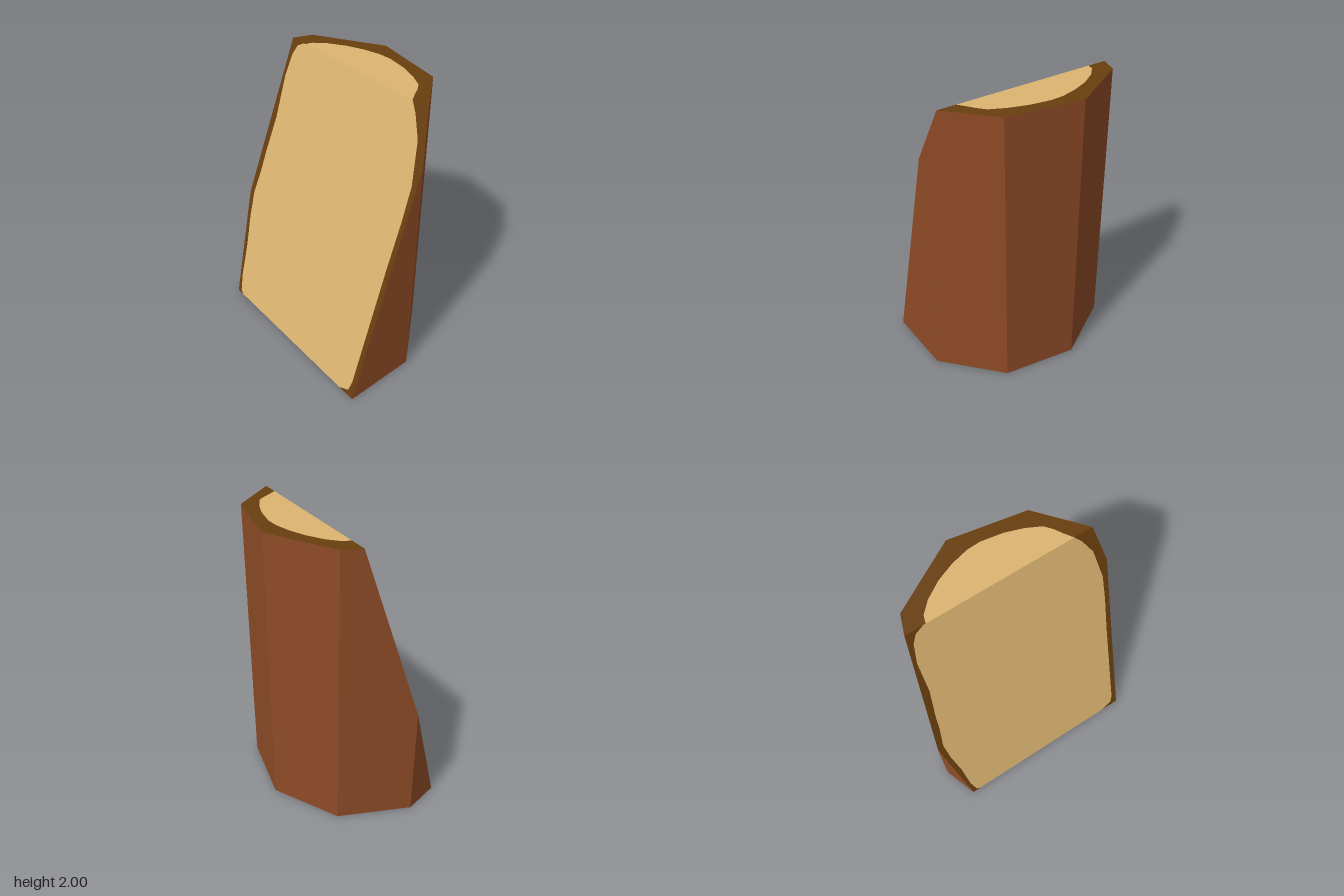
import * as THREE from 'three';

// Split log: a seven-sided prism of bark, cut by one slanted plane
const TOP = 2, LEFT = -0.505, RIDGE = 0.11;
const slantY = (x) => Math.min(TOP, ((x - LEFT) / (RIDGE - LEFT)) * TOP);

const material = (name, color) => {
  const m = new THREE.MeshStandardMaterial({ color });
  m.name = name;
  return m;
};

function meshFrom(name, positions, mat) {
  const g = new THREE.BufferGeometry();
  g.setAttribute('position', new THREE.Float32BufferAttribute(positions, 3));
  g.computeVertexNormals();
  const mesh = new THREE.Mesh(g, mat);
  mesh.name = name;
  return mesh;
}

// Fills an [x, z] outline, lifting every corner to height(x)
function face(name, outline, height, up, mat) {
  const pts = outline.map(([x, z]) => new THREE.Vector2(x, z));
  const pos = [];
  for (const [i, j, k] of THREE.ShapeUtils.triangulateShape(pts, [])) {
    const a = pts[i], b = pts[j], c = pts[k];
    const facesUp = (b.y - a.y) * (c.x - a.x) - (b.x - a.x) * (c.y - a.y) > 0;
    const tri = facesUp === up ? [a, b, c] : [a, c, b];
    for (const p of tri) pos.push(p.x, height(p.x), p.y);
  }
  return meshFrom(name, pos, mat);
}

export function createModel() {
  const bark = material('bark', 0x8e4b26);
  const innerBark = material('innerBark', 0x683e0e);
  const wood = material('wood', 0xdcb471);
  const log = new THREE.Group();
  log.name = 'splitLog';

  // Corners of the log, back to front around the +x side
  const A = [LEFT, -0.655], B = [-0.255, -0.745], C = [0.24, -0.565], D = [0.5, -0.11];
  const E = [0.41, 0.405], F = [0.01, 0.745], G = [LEFT, 0.745];
  const H = [RIDGE, -0.612], I = [RIDGE, 0.66]; // ends of the ridge

  // Bark walls
  const ring = [A, B, H, C, D, E, I, F, G];
  const walls = [];
  for (let i = 0; i < ring.length - 1; i++) {
    const [px, pz] = ring[i], [qx, qz] = ring[i + 1];
    const py = slantY(px), qy = slantY(qx);
    if (py > 0) walls.push(px, 0, pz, px, py, pz, qx, qy, qz);
    if (qy > 0) walls.push(px, 0, pz, qx, qy, qz, qx, 0, qz);
  }
  log.add(meshFrom('barkWalls', walls, bark));

  // Wavy outlines where the wood meets the inner bark
  const topEdge = [
    [RIDGE, -0.475], [0.16, -0.46], [0.23, -0.39], [0.3, -0.28], [0.35, -0.16], [0.38, -0.04],
    [0.385, 0.05], [0.36, 0.2], [0.32, 0.32], [0.27, 0.42], [0.22, 0.46], [0.17, 0.49], [RIDGE, 0.53],
  ];
  const backEdge = [
    [LEFT, -0.59], [-0.498, -0.62], [-0.46, -0.645], [-0.38, -0.66], [-0.31, -0.69], [-0.25, -0.7],
    [-0.19, -0.67], [-0.14, -0.655], [-0.06, -0.62], [0.03, -0.615], [0.08, -0.585], [0.1, -0.55], [RIDGE, -0.49],
  ];
  const frontEdge = [
    [LEFT, 0.61], [-0.493, 0.69], [-0.47, 0.705], [-0.2, 0.705], [-0.1, 0.71],
    [-0.03, 0.705], [0.05, 0.65], [0.09, 0.58], [RIDGE, 0.53],
  ];
  const bottomEdge = [
    [LEFT, -0.61], [-0.315, -0.615], [-0.12, -0.61], [0.04, -0.56], [0.175, -0.48], [0.36, -0.27],
    [0.41, -0.03], [0.385, 0.18], [0.32, 0.34], [0.21, 0.49], [0.05, 0.6], [-0.2, 0.615], [LEFT, 0.615],
  ];
  const reversed = (edge) => [...edge].reverse();
  const topY = () => TOP, bottomY = () => 0;

  // Top end
  log.add(face('topWood', topEdge, topY, true, wood));
  log.add(face('topRim', [H, C, D, E, I, ...reversed(topEdge)], topY, true, innerBark));

  // Slanted cut
  log.add(face('cutWood', [...backEdge, ...reversed(frontEdge)], slantY, true, wood));
  log.add(face('cutRimBack', [A, B, H, ...reversed(backEdge)], slantY, true, innerBark));
  log.add(face('cutRimFront', [G, F, I, ...reversed(frontEdge)], slantY, true, innerBark));

  // Bottom end
  log.add(face('bottomWood', bottomEdge, bottomY, false, wood));
  log.add(face('bottomRim', [A, B, C, D, E, F, G, ...reversed(bottomEdge)], bottomY, false, innerBark));

  return log;
}
